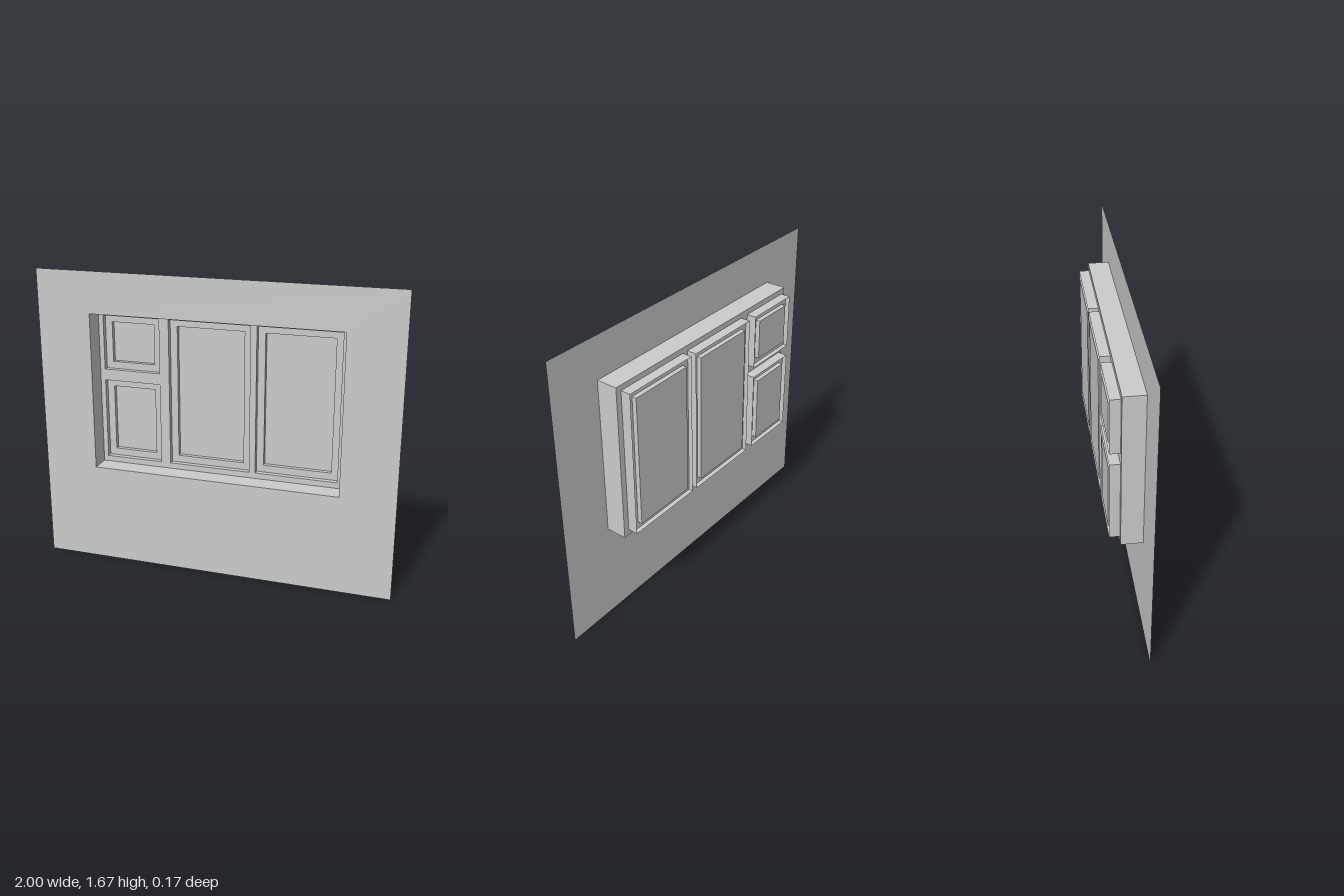
import * as THREE from 'three';

const material = new THREE.MeshStandardMaterial({ color: 0xcccccc, side: THREE.DoubleSide });

// Depths of the flat layers, from front to back
const WALL_Z = 0.085, FRAME_Z = -0.03, SASH_Z = -0.06, GLASS_Z = -0.085;

// Rectangles are [left, bottom, right, top]
const WALL = [-1, 0, 1, 1.67];
const OPENING = [-0.697, 0.556, 0.697, 1.44];
const WINDOWS = {
  upperSmallWindow: [-0.67, 1.105, -0.343, 1.41],
  lowerSmallWindow: [-0.67, 0.588, -0.343, 1.042],
  middleWindow: [-0.288, 0.588, 0.172, 1.41],
  endWindow: [0.207, 0.588, 0.664, 1.41],
};
const SASH_WIDTH = 0.04;

function corners([l, b, r, t]) {
  return [[l, b], [r, b], [r, t], [l, t]].map(([x, y]) => new THREE.Vector2(x, y));
}

// Flat rectangular sheet with rectangular holes
function sheet(name, rect, z, holes = []) {
  const shape = new THREE.Shape(corners(rect));
  for (const h of holes) shape.holes.push(new THREE.Path(corners(h).reverse()));
  const mesh = new THREE.Mesh(new THREE.ShapeGeometry(shape), material);
  mesh.name = name;
  mesh.position.z = z;
  return mesh;
}

// Four thin walls around a rectangle: a box without its front and back
function reveal(name, [l, b, r, t], front, back) {
  const geometry = new THREE.BoxGeometry(r - l, t - b, front - back);
  geometry.setIndex(Array.from(geometry.index.array).slice(0, 24));
  geometry.clearGroups();
  const mesh = new THREE.Mesh(geometry, material);
  mesh.name = name;
  mesh.position.set((l + r) / 2, (b + t) / 2, (front + back) / 2);
  return mesh;
}

// Sash set back in its casing, with a further recessed glass pane
function createWindow(name, rect) {
  const [l, b, r, t] = rect;
  const s = SASH_WIDTH;
  const glass = [l + s, b + s, r - s, t - s];
  const group = new THREE.Group();
  group.name = name;
  group.add(
    reveal('casing', rect, FRAME_Z, GLASS_Z),
    sheet('sash', rect, SASH_Z, [glass]),
    reveal('sashEdge', glass, SASH_Z, GLASS_Z),
    sheet('glass', glass, GLASS_Z),
  );
  return group;
}

export function createModel() {
  const model = new THREE.Group();
  model.name = 'windowWall';
  model.add(
    sheet('wall', WALL, WALL_Z, [OPENING]),
    reveal('openingReveal', OPENING, WALL_Z, FRAME_Z),
    sheet('windowFrame', OPENING, FRAME_Z, Object.values(WINDOWS)),
  );
  for (const [name, rect] of Object.entries(WINDOWS)) model.add(createWindow(name, rect));
  return model;
}
